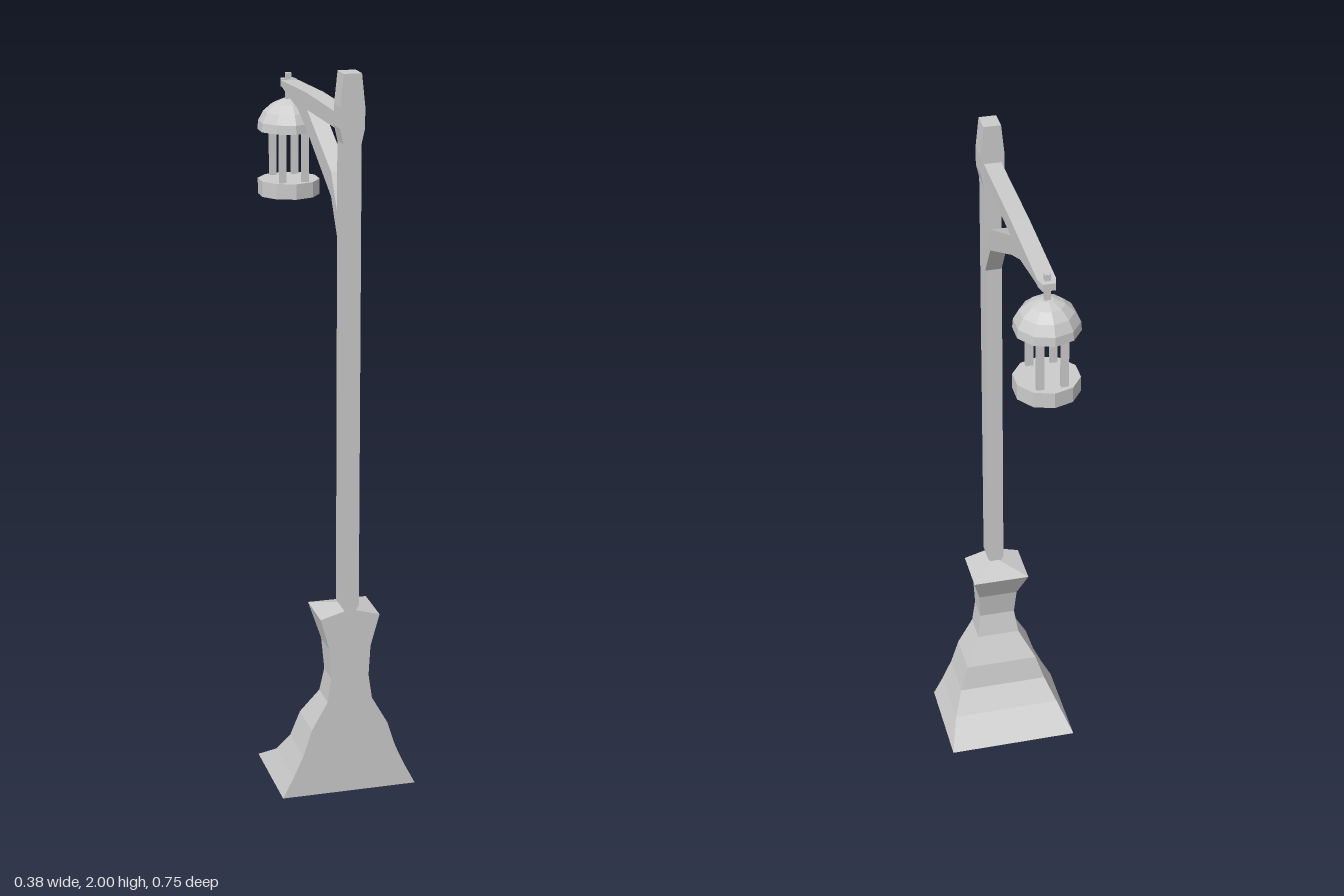
import * as THREE from 'three';

const mat = new THREE.MeshStandardMaterial({ color: 0xcccccc, flatShading: true });
const LAMP_Z = -0.286;

function add(parent, name, geometry, x = 0, y = 0, z = 0) {
  const mesh = new THREE.Mesh(geometry, mat);
  mesh.name = name;
  mesh.position.set(x, y, z);
  parent.add(mesh);
  return mesh;
}

// Stack of rectangles [y, halfWidth, zMin, zMax], skinned and capped
function loft(sections) {
  const rings = sections.map(([y, w, a, b]) => [[-w, y, b], [w, y, b], [w, y, a], [-w, y, a]]);
  const pos = [];
  const quad = (a, b, c, d) => pos.push(...a, ...b, ...c, ...a, ...c, ...d);
  for (let i = 0; i < rings.length - 1; i++) {
    for (let k = 0; k < 4; k++) {
      const n = (k + 1) % 4;
      quad(rings[i][k], rings[i][n], rings[i + 1][n], rings[i + 1][k]);
    }
  }
  const first = rings[0], last = rings[rings.length - 1];
  quad(first[3], first[2], first[1], first[0]);
  quad(last[0], last[1], last[2], last[3]);
  const g = new THREE.BufferGeometry();
  g.setAttribute('position', new THREE.Float32BufferAttribute(pos, 3));
  g.computeVertexNormals();
  return g;
}

// Side outline in [z, y], extruded across x
function sideProfile(points, width) {
  const shape = new THREE.Shape(points.map(([z, y]) => new THREE.Vector2(-z, y)));
  const g = new THREE.ExtrudeGeometry(shape, { depth: width, bevelEnabled: false });
  g.translate(0, 0, -width / 2);
  g.rotateY(Math.PI / 2);
  return g;
}

export function createModel() {
  const model = new THREE.Group();
  model.name = 'streetLamp';

  // Flared pedestal with a flat face on +z and a low pyramid top
  const B = 0.373;
  add(model, 'pedestal', loft([
    [0, 0.19, 0.085, B], [0.058, 0.16, 0.18, B], [0.12, 0.132, 0.228, B],
    [0.195, 0.108, 0.243, B], [0.275, 0.063, 0.285, B], [0.345, 0.053, 0.3, B],
    [0.43, 0.058, 0.285, B], [0.52, 0.083, 0.238, B], [0.541, 0.01, 0.312, B],
  ]));

  // Post, pinched at the foot and swollen around the arm joint
  add(model, 'post', loft([
    [0.53, 0.01, 0.314, B], [0.552, 0.024, 0.314, B], [1.82, 0.024, 0.314, B],
    [1.86, 0.033, 0.314, B], [1.915, 0.033, 0.314, B], [2, 0.024, 0.314, B],
  ]));

  // Tapering arm and its narrowed tip
  add(model, 'arm', sideProfile([
    [0.33, 1.89], [0.33, 1.848], [0, 1.845], [-0.28, 1.862], [-0.28, 1.878], [0, 1.89],
  ], 0.048));
  const tip = new THREE.BoxGeometry(0.048, 0.02, 0.028);
  const p = tip.attributes.position;
  for (let i = 0; i < p.count; i++) if (p.getZ(i) < 0) p.setX(i, p.getX(i) * 0.7);
  tip.computeVertexNormals();
  add(model, 'armTip', tip, 0, 1.87, -0.294);

  // Bent brace under the arm
  add(model, 'brace', sideProfile([
    [0.32, 1.55], [0.25, 1.66], [0, 1.79], [-0.095, 1.83], [-0.28, 1.862],
    [-0.1, 1.858], [0, 1.847], [0.25, 1.725], [0.32, 1.615],
  ], 0.046));

  // Hanging lantern
  const lantern = new THREE.Group();
  lantern.name = 'lantern';
  lantern.position.z = LAMP_Z;
  model.add(lantern);
  add(lantern, 'hanger', new THREE.BoxGeometry(0.016, 0.085, 0.014), 0, 1.855, 0);
  const dome = [[0, 1.737], [0.088, 1.737], [0.086, 1.762], [0.071, 1.79],
    [0.046, 1.812], [0.018, 1.824], [0, 1.825]];
  add(lantern, 'dome', new THREE.LatheGeometry(dome.map(([r, y]) => new THREE.Vector2(r, y)), 10));
  add(lantern, 'lanternFloor', new THREE.CylinderGeometry(0.088, 0.088, 0.044, 10), 0, 1.575, 0);
  for (const sx of [-1, 1]) {
    for (const sz of [-1, 1]) {
      add(lantern, 'lanternBar', new THREE.BoxGeometry(0.02, 0.15, 0.012), sx * 0.032, 1.666, sz * 0.058);
    }
  }
  return model;
}
